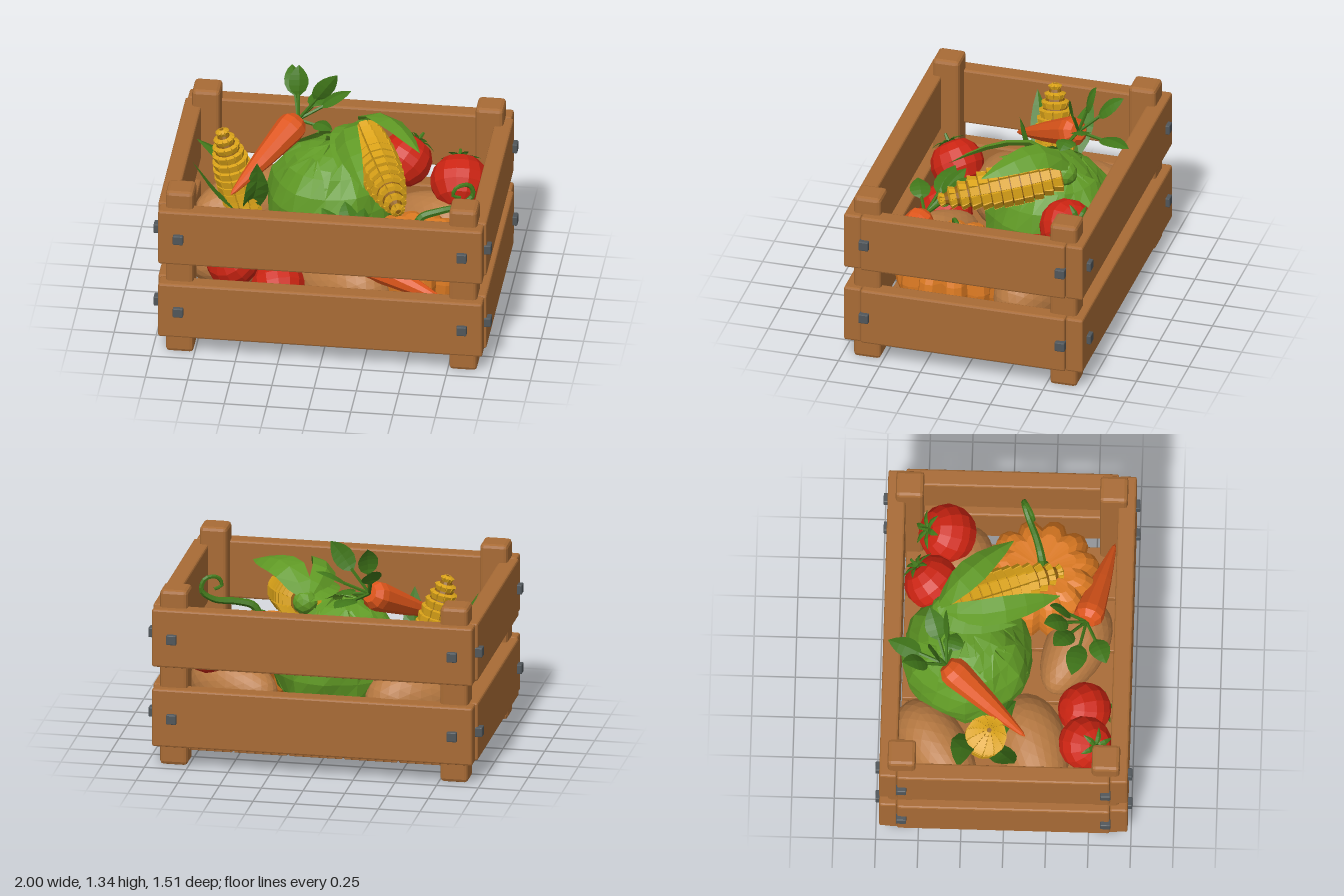
import * as THREE from 'three';
import { mergeGeometries } from 'three/addons/utils/BufferGeometryUtils.js';
import { RoundedBoxGeometry } from 'three/addons/geometries/RoundedBoxGeometry.js';

const V = (x, y, z) => new THREE.Vector3(x, y, z);
const UP = V(0, 1, 0);

function mat(name, color, extra = {}) {
  return new THREE.MeshStandardMaterial({ name, color, flatShading: true, ...extra });
}

// surface through rows of points, all rows the same length
function skin(rows) {
  const n = rows[0].length, idx = [];
  for (let i = 0; i < rows.length - 1; i++) for (let j = 0; j < n - 1; j++) {
    const a = i * n + j, b = a + n;
    idx.push(a, a + 1, b, a + 1, b + 1, b);
  }
  const g = new THREE.BufferGeometry().setFromPoints(rows.flat());
  g.setIndex(idx);
  g.computeVertexNormals();
  return g;
}

// pointed leaf with a folded midrib, along a curve
function leafGeometry(points, width, fold = 0.25, up = UP, steps = 6) {
  const curve = new THREE.CatmullRomCurve3(points), rows = [];
  for (let i = 0; i <= steps; i++) {
    const t = i / steps, p = curve.getPoint(t), tan = curve.getTangent(t);
    const side = V().crossVectors(tan, up).normalize();
    const nor = V().crossVectors(side, tan).normalize();
    const w = Math.max(0.002, width / 2 * Math.pow(Math.sin(Math.PI * Math.pow(t, 0.8)), 0.8));
    rows.push([-1, 0, 1].map(s => p.clone().addScaledVector(side, s * w)
      .addScaledVector(nor, s === 0 ? fold * w : 0)));
  }
  return skin(rows);
}

// stand an object's y axis on the line from a towards b
function aim(obj, a, b) {
  obj.position.copy(a);
  obj.quaternion.setFromUnitVectors(UP, b.clone().sub(a).normalize());
  return obj;
}

export function createModel() {
  const root = new THREE.Group();
  root.name = 'vegetableCrate';
  const wood = mat('wood', 0xa86b35), metal = mat('nail metal', 0x50565a);
  const potatoSkin = mat('potato skin', 0xb87a42), tomatoRed = mat('tomato red', 0xcc2412);
  const cabbageGreen = mat('cabbage green', 0x609a25, { side: THREE.DoubleSide });
  const leafGreen = mat('leaf green', 0x41781a, { side: THREE.DoubleSide });
  const cornYellow = mat('corn yellow', 0xdba318), cornGap = mat('corn gap', 0x8f5f10);
  const carrotOrange = mat('carrot orange', 0xdd551a), pumpkinOrange = mat('pumpkin orange', 0xdc7a22);

  const add = (parent, name, geo, material) => {
    const m = new THREE.Mesh(geo, material);
    m.name = name;
    parent.add(m);
    return m;
  };
  const group = name => {
    const g = new THREE.Group();
    g.name = name;
    root.add(g);
    return g;
  };

  // crate
  const crate = group('crate');
  const block = (name, w, h, d, x, y, z, material = wood, r = 0.012) =>
    add(crate, name, new RoundedBoxGeometry(w, h, d, 1, r), material).position.set(x, y, z);
  for (const s of [-1, 1]) {
    for (const t of [-1, 1]) block('post', 0.165, 1.08, 0.165, s * 0.84, 0.54, t * 0.6, wood, 0.022);
    for (const y of [0.303, 0.795]) {
      block('longPlank', 1.92, 0.357, 0.105, 0, y, s * 0.678);
      block('sidePlank', 0.105, 0.357, 1.25, s * 0.92, y, 0);
      for (const t of [-1, 1]) {
        block('nail', 0.06, 0.06, 0.05, t * 0.84, y, s * 0.73, metal, 0.006);
        block('nail', 0.05, 0.06, 0.06, s * 0.975, y, t * 0.6, metal, 0.006);
      }
    }
  }
  for (let i = -2; i <= 2; i++) block('floorPlank', 0.318, 0.05, 1.24, i * 0.329, 0.105, 0, wood, 0.006);

  // potatoes: x, y, z, half length, half height, half width, turn
  const potatoes = [[-0.58, 0.42, -0.4, 0.34, 0.2, 0.19, 0.6], [-0.55, 0.4, 0.16, 0.34, 0.2, 0.21, 0.3],
    [0.1, 0.36, 0.39, 0.31, 0.2, 0.18, -0.45], [0.54, 0.4, -0.33, 0.3, 0.2, 0.18, -0.5]];
  for (const [x, y, z, a, b, c, turn] of potatoes) {
    const g = new THREE.IcosahedronGeometry(1, 4), p = g.attributes.position;
    for (let i = 0; i < p.count; i++) {
      const u = p.getX(i), k = 1 + 0.12 * u;
      p.setXYZ(i, u * a, (p.getY(i) * k + 0.06 * Math.sin(3 * u)) * b, p.getZ(i) * k * c);
    }
    g.computeVertexNormals();
    const m = add(root, 'potato', g, potatoSkin);
    m.position.set(x, y, z);
    m.rotation.y = turn;
  }

  // tomatoes: centre, radius, direction of the stalk
  const tomatoes = [[V(-0.55, 0.52, 0.465), 0.16, V(-0.4, 0.75, 0.5)], [V(-0.285, 0.37, 0.455), 0.16, V(0.2, -0.5, 0.6)],
    [V(0.345, 0.74, -0.455), 0.165, V(0.5, 0.6, -0.65)], [V(0.685, 0.66, -0.37), 0.175, V(-0.08, 0.6, -0.8)]];
  for (const [c, r, d] of tomatoes) {
    const t = aim(group('tomato'), c, c.clone().add(d));
    const profile = [[0, -0.9], [0.4, -0.86], [0.75, -0.62], [0.97, -0.2], [1, 0.12], [0.88, 0.5], [0.62, 0.79], [0.3, 0.88], [0, 0.8]];
    add(t, 'tomatoBody', new THREE.LatheGeometry(profile.map(p => new THREE.Vector2(p[0] * r, p[1] * r)), 14), tomatoRed);
    for (let i = 0; i < 6; i++) {
      const sepal = leafGeometry([V(0, 0.86 * r, 0), V(0.35 * r, 0.95 * r, 0), V(0.68 * r, 0.88 * r, 0)], 0.22 * r, 0.3, UP, 4);
      add(t, 'sepal', sepal, leafGreen).rotation.y = i * Math.PI / 3;
    }
    add(t, 'stalk', new THREE.CylinderGeometry(0.05 * r, 0.09 * r, 0.4 * r, 5), leafGreen).position.y = 1.03 * r;
  }

  // cabbage: core wrapped in overlapping leaves
  const cabbage = group('cabbage');
  cabbage.position.set(-0.05, 0.58, -0.24);
  add(cabbage, 'cabbageHeart', new THREE.IcosahedronGeometry(0.345, 2), cabbageGreen);
  for (const [count, top, bottom, radius, shift] of [[4, 0.12, 1.7, 0.36, 0.3], [6, 0.5, 2.3, 0.375, 0]]) {
    for (let i = 0; i < count; i++) {
      const az = shift + i * 2 * Math.PI / count, rows = [];
      for (let j = 0; j <= 6; j++) {
        const v = j / 6, th = bottom + (top - bottom) * v;
        const half = 0.36 * Math.pow(Math.sin(Math.PI * (0.12 + 0.86 * v)), 0.7);
        rows.push([-1, -0.5, 0, 0.5, 1].map(u => {
          const r = radius + 0.02 * v + (u === 0 ? 0.012 : 0) + 0.008 * Math.sin(j * 2.1 + u * 3);
          const arc = az + u * half / Math.max(0.34, Math.sin(th)) * 1.5;
          return V(Math.cos(arc) * Math.sin(th), Math.cos(th), Math.sin(arc) * Math.sin(th)).multiplyScalar(r);
        }));
      }
      add(cabbage, 'cabbageLeaf', skin(rows), cabbageGreen);
    }
  }

  // pumpkin: ribbed, flattened ball with a dimple
  const pumpkin = group('pumpkin');
  pumpkin.position.set(0.5, 0.43, 0.18);
  const rings = [];
  for (let j = 0; j <= 12; j++) {
    const ph = Math.PI * (1 - j / 12), ring = [];
    for (let i = 0; i <= 48; i++) {
      const a = -i / 48 * 2 * Math.PI, rib = 0.84 + 0.16 * Math.pow(Math.abs(Math.sin(a * 6)), 0.7);
      const r = 0.355 * Math.pow(Math.sin(ph), 0.75) * rib;
      const y = 0.27 * Math.cos(ph) * (1 - 0.28 * Math.pow(Math.abs(Math.cos(ph)), 6));
      ring.push(V(r * Math.cos(a), y, r * Math.sin(a)));
    }
    rings.push(ring);
  }
  add(pumpkin, 'pumpkinBody', skin(rings), pumpkinOrange);
  add(pumpkin, 'stemBase', new THREE.CylinderGeometry(0.03, 0.065, 0.09, 6), leafGreen).position.set(-0.01, 0.22, 0.01);
  const stem = new THREE.CatmullRomCurve3([V(-0.01, 0.22, 0.01), V(0.03, 0.3, 0), V(0.13, 0.33, -0.03), V(0.25, 0.35, -0.08),
    V(0.32, 0.41, -0.11), V(0.3, 0.48, -0.1), V(0.23, 0.48, -0.06), V(0.21, 0.43, -0.05), V(0.25, 0.41, -0.07)]);
  const stemGeo = new THREE.TubeGeometry(stem, 28, 1, 6), sp = stemGeo.attributes.position;
  for (let i = 0; i < sp.count; i++) {
    const t = Math.floor(i / 7) / 28, c = stem.getPointAt(t), p = V().fromBufferAttribute(sp, i);
    p.sub(c).multiplyScalar(0.026 - 0.016 * t).add(c);
    sp.setXYZ(i, p.x, p.y, p.z);
  }
  add(pumpkin, 'curledStem', stemGeo, leafGreen);

  // corn cobs: dark core with rows of kernels
  function corn(base, tip, radius, husks, husk) {
    const cob = aim(group('cornCob'), base, tip), len = base.distanceTo(tip), kernels = [];
    const rad = t => radius * Math.pow(Math.sin(Math.PI * (0.22 + 0.76 * t)), 0.75);
    const pts = [new THREE.Vector2(0, 0)];
    for (let i = 0; i <= 12; i++) pts.push(new THREE.Vector2(rad(i / 12) * 0.92, len * i / 12));
    pts.push(new THREE.Vector2(0, len));
    add(cob, 'cobCore', new THREE.LatheGeometry(pts, 11), cornGap);
    const rows = 12, cols = 11;
    for (let i = 0; i < rows; i++) for (let j = 0; j < cols; j++) {
      const t = (i + 0.5) / rows, r = rad(t), slope = Math.atan2(rad(t + 0.03) - rad(t - 0.03), 0.06 * len);
      const g = new THREE.BoxGeometry(2 * r * Math.tan(Math.PI / cols) * 0.88, len / rows * 0.88, 0.03);
      g.rotateX(-slope).translate(0, t * len, r - 0.012).rotateY((j + 0.5) * 2 * Math.PI / cols);
      kernels.push(g);
    }
    add(cob, 'kernels', mergeGeometries(kernels), cornYellow);
    husks.forEach(([points, width, up]) => add(root, 'huskLeaf', leafGeometry(points, width, 0.3, up), husk));
  }
  corn(V(-0.55, 0.5, -0.13), V(-0.69, 1.08, -0.09), 0.115, [
    [[V(-0.56, 0.5, -0.15), V(-0.66, 0.75, -0.24), V(-0.86, 0.9, -0.27)], 0.16, UP],
    [[V(-0.56, 0.5, -0.1), V(-0.72, 0.7, 0), V(-0.84, 0.93, 0.06)], 0.14, UP],
    [[V(-0.53, 0.5, -0.1), V(-0.47, 0.72, 0), V(-0.46, 0.95, 0.06)], 0.15, UP]], leafGreen);
  corn(V(0.12, 0.96, -0.36), V(0.41, 0.83, 0.31), 0.125, [
    [[V(0.08, 0.98, -0.44), V(0.04, 1.08, -0.15), V(0.11, 1.05, 0.1), V(0.2, 0.97, 0.3)], 0.17, V(-0.6, 0.8, 0)],
    [[V(0.08, 0.98, -0.44), V(0.22, 1.12, -0.28), V(0.36, 1.12, -0.14), V(0.5, 1.07, 0.02)], 0.2, V(0.4, 0.9, 0)]], cabbageGreen);
  add(root, 'huskLeaf', leafGeometry([V(0.08, 0.98, -0.44), V(0.02, 1.0, -0.25), V(0.02, 0.95, 0.05)], 0.18), cabbageGreen);
  add(root, 'huskBase', new THREE.IcosahedronGeometry(0.075, 1), cabbageGreen).position.set(0.11, 0.96, -0.38);

  // carrots with leafy tops; each leaf is given by its tip
  function carrot(head, tip, radius, leafTips) {
    const len = head.distanceTo(tip), body = aim(group('carrot'), head, tip);
    const profile = [[0, -0.035], [0.6, -0.03], [0.95, 0.03], [1, 0.1], [0.84, 0.3], [0.66, 0.52], [0.4, 0.76], [0.16, 0.95], [0, 1]];
    add(body, 'carrotRoot', new THREE.LatheGeometry(profile.map(p => new THREE.Vector2(p[0] * radius, p[1] * len)).reverse(), 9), carrotOrange)
      .geometry.index.array.reverse();
    const crown = head.clone().addScaledVector(tip.clone().sub(head), -0.03);
    for (const end of leafTips) {
      const start = crown.clone().lerp(end, 0.42);
      const stalk = new THREE.TubeGeometry(new THREE.LineCurve3(crown, start.clone().lerp(end, 0.1)), 1, 0.01, 5);
      add(root, 'carrotStalk', stalk, leafGreen);
      const mid = start.clone().lerp(end, 0.5).add(V(0, 0.01, 0));
      const dir = end.clone().sub(crown).normalize();
      add(root, 'carrotLeaf', leafGeometry([start, mid, end], 0.125, 0.2, dir.y > 0.6 ? V(0.5, 0.1, 1) : UP), leafGreen);
    }
  }
  carrot(V(-0.28, 1.02, -0.34), V(-0.61, 0.76, 0.12), 0.09, [V(-0.28, 1.335, -0.46), V(-0.04, 1.34, -0.36),
    V(0.03, 1.18, -0.46), V(-0.13, 1.04, -0.7), V(-0.34, 1.25, -0.61), V(-0.06, 1.0, -0.3)]);
  carrot(V(0.2, 0.58, 0.46), V(0.74, 0.41, 0.61), 0.09, [V(-0.2, 0.72, 0.38), V(0.08, 0.82, 0.21),
    V(-0.1, 0.66, 0.58), V(-0.05, 0.8, 0.27), V(0.2, 0.8, 0.24)]);

  // turn lathe and skin faces outward where the profile runs the other way
  root.traverse(o => {
    if (o.name !== 'carrotRoot' && o.name !== 'pumpkinBody') return;
    const g = o.geometry, p = g.attributes.position, ix = g.index.array, mid = V();
    g.computeBoundingBox();
    g.boundingBox.getCenter(mid);
    let sum = 0;
    for (let i = 0; i < ix.length; i += 3) {
      const [a, b, c] = [0, 1, 2].map(k => V().fromBufferAttribute(p, ix[i + k]).sub(mid));
      sum += a.dot(b.cross(c));
    }
    if (sum < 0) ix.reverse();
    g.computeVertexNormals();
  });
  return root;
}
